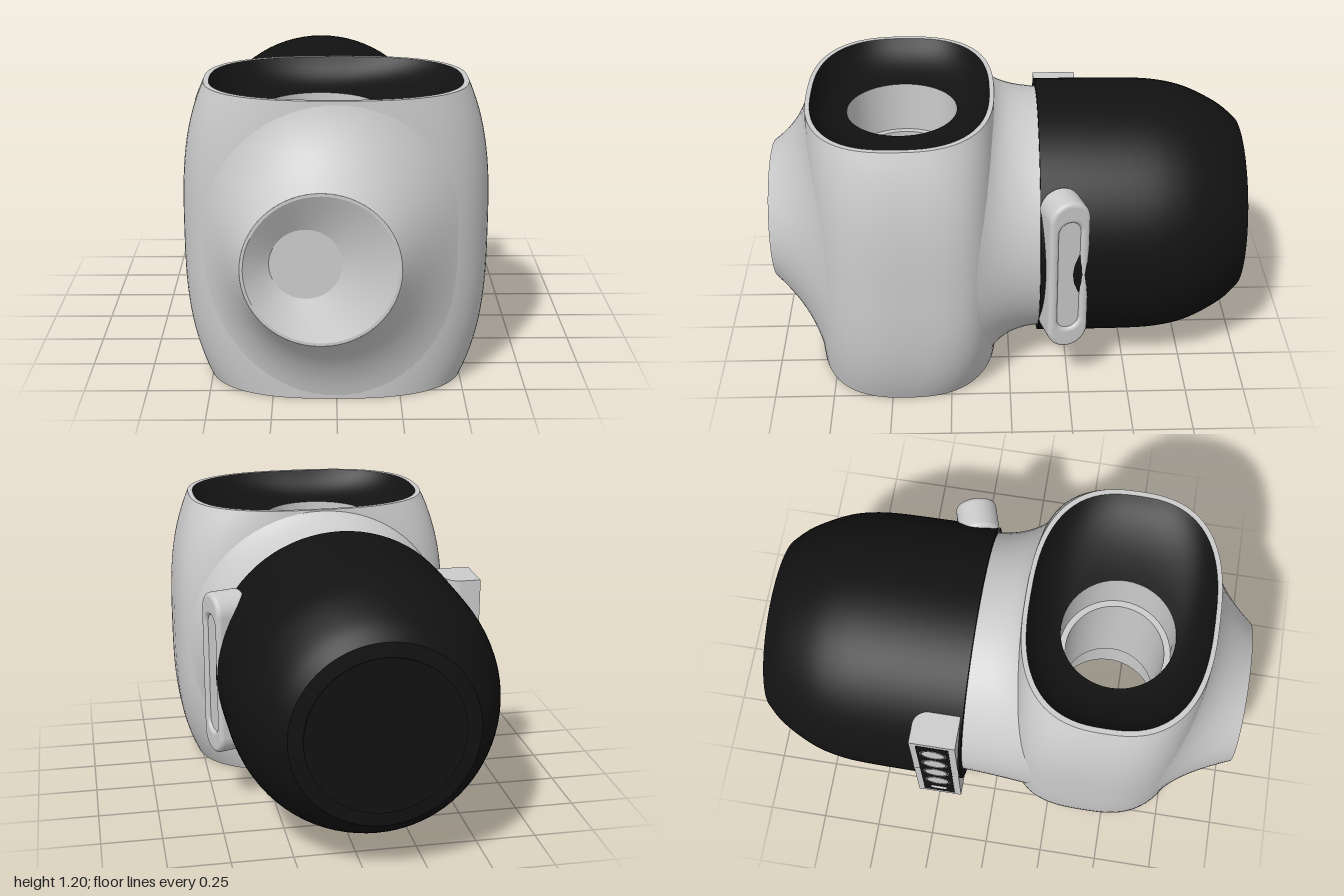
import * as THREE from 'three';

const GREY = 0xcccccc, BLACK = 0x121212;
const CX = -0.06, CY = 0.603, CZ = 0.44; // axis of snout and drum, centre of barrel

const mat = (color, side = THREE.FrontSide) => new THREE.MeshStandardMaterial({ color, side });
const mix = (a, b, t) => a + (b - a) * t;

function add(parent, name, geometry, color = GREY, side) {
  const mesh = new THREE.Mesh(geometry, mat(color, side));
  mesh.name = name;
  parent.add(mesh);
  return mesh;
}

// Surface through closed rings: f(angle, v) returns [x, y, z]
function loft(f, nu, nv) {
  const pos = [], index = [];
  for (let j = 0; j <= nv; j++) {
    for (let i = 0; i < nu; i++) pos.push(...f((i / nu) * Math.PI * 2, j / nv));
  }
  for (let j = 0; j < nv; j++) {
    for (let i = 0; i < nu; i++) {
      const a = j * nu + i, b = j * nu + ((i + 1) % nu);
      index.push(a, b, a + nu, b, b + nu, a + nu);
    }
  }
  const g = new THREE.BufferGeometry();
  g.setAttribute('position', new THREE.Float32BufferAttribute(pos, 3));
  g.setIndex(index);
  g.computeVertexNormals();
  return g;
}

// Barrel half-width, half-depth and squareness at a height (the back is squarer at mid height)
const rise = y => Math.min(1, Math.abs(y / 0.6 - 1));
const halfW = y => 0.609 - 0.091 * rise(y) ** 3;
const halfD = y => 0.4 - 0.015 * rise(y) ** 2;
const power = (y, sign) => (sign > 0 ? 2.6 : 2.6 + 1.6 * (1 - rise(y) ** 2));

// Front (+1) or back (-1) surface of the barrel
function barrelZ(x, y, sign) {
  const n = power(y, sign);
  return CZ + sign * halfD(y) * Math.max(0, 1 - (Math.abs(x) / halfW(y)) ** n) ** (1 / n);
}

// Point of a rounded-square ring
function oval(a, w, d, n = 2.6) {
  const p = v => Math.sign(v) * Math.abs(v) ** (2 / n);
  return [w * p(Math.sin(a)), CZ + d * p(Math.cos(a))];
}

const bezier = (a, c, b, t) =>
  a.map((v, i) => (1 - t) * (1 - t) * v + 2 * t * (1 - t) * c[i] + t * t * b[i]);

function stadium(r, half, Type = THREE.Shape) {
  const s = new Type();
  s.absarc(0, half - r, r, 0, Math.PI);
  s.absarc(0, r - half, r, Math.PI, Math.PI * 2);
  s.closePath();
  return s;
}

function makeBody() {
  const g = new THREE.Group();
  g.name = 'body';
  add(g, 'barrel', loft((a, v) => {
    const y = 1.2 * v, [x, z] = oval(a, halfW(y), halfD(y), power(y, Math.cos(a)));
    return [x, y, z];
  }, 96, 32), GREY, THREE.DoubleSide);

  // Flare from the barrel to the round snout
  add(g, 'snoutFlare', loft((a, v) => {
    const c = Math.cos(a), s = Math.sin(a);
    const tip = [CX + 0.3 * c, CY + 0.3 * s, 1];
    const root = [0.535 * c, 0.6 + 0.595 * s, 0];
    root[2] = barrelZ(root[0], root[1], 1) - 0.002;
    const mid = [mix(tip[0], root[0], 0.45), mix(tip[1], root[1], 0.4), 0];
    mid[2] = barrelZ(mid[0], mid[1], 1) + 0.03;
    return bezier(root, mid, tip, v);
  }, 72, 14), GREY, THREE.DoubleSide);

  // Flare from the round neck to the barrel
  add(g, 'neck', loft((a, v) => {
    const c = Math.cos(a), s = Math.sin(a);
    const end = [-0.05 + 0.515 * c, CY + 0.522 * s, -0.14];
    const root = [-0.01 + 0.575 * c, 0.6 + 0.597 * s, 0];
    root[2] = barrelZ(root[0], root[1], -1) + 0.002;
    return bezier(end, [-0.05 + 0.522 * c, CY + 0.53 * s, 0.01], root, v);
  }, 72, 14), GREY, THREE.DoubleSide);

  // Snout end: thin rim, off-centre cone and flat disc
  const ring = (x0, r0, z0, x1, r1, z1) => loft((a, v) => {
    const r = mix(r0, r1, v);
    return [mix(x0, x1, v) + r * Math.cos(a), CY + r * Math.sin(a), mix(z0, z1, v)];
  }, 64, 1);
  add(g, 'snoutRim', ring(CX, 0.3, 1, CX, 0.288, 1));
  add(g, 'snoutCone', ring(CX, 0.288, 1, -0.117, 0.137, 0.93));
  add(g, 'snoutDisc', new THREE.CircleGeometry(0.14, 48).translate(-0.117, CY, 0.93));
  return g;
}

// Oval mouth: rim, dark dish, and the upper half of the stepped hole
function makeMouth() {
  const g = new THREE.Group();
  g.name = 'mouth';
  add(g, 'mouthRim', loft((a, v) => {
    const [x, z] = oval(a, mix(0.518, 0.497, v), mix(0.385, 0.366, v));
    return [x, 1.2, z];
  }, 96, 1));
  add(g, 'mouthDish', loft((a, v) => {
    const [x, z] = oval(a, 0.497, 0.366);
    const hole = [CX + 0.231 * Math.sin(a), 1.08, CZ + 0.231 * Math.cos(a)];
    const mid = [mix(x, hole[0], 0.3), 1.1, mix(z, hole[2], 0.3)];
    return bezier([x, 1.2, z], mid, hole, v);
  }, 96, 12), BLACK, THREE.DoubleSide);
  add(g, 'holeWall', new THREE.CylinderGeometry(0.231, 0.231, 0.22, 48, 1, true)
    .translate(CX, 0.97, CZ), GREY, THREE.DoubleSide);
  add(g, 'holeStep', new THREE.RingGeometry(0.205, 0.231, 48)
    .rotateX(-Math.PI / 2).translate(CX, 0.86, CZ));
  return g;
}

// Drum at the back: straight wall rounding in to a flat end plate
function makeDrum() {
  const curve = new THREE.SplineCurve([[0.549, 0.123], [0.549, 0.35], [0.546, 0.56], [0.535, 0.67],
    [0.513, 0.76], [0.473, 0.85], [0.425, 0.93], [0.37, 0.99]].map(p => new THREE.Vector2(...p)));
  const tail = [[0.37, 0.99], [0.312, 0.994], [0.312, 0.994], [0.312, 1], [0.312, 1], [0, 1]];
  const profile = [new THREE.Vector2(0.5, 0.123), new THREE.Vector2(0.549, 0.123),
    ...curve.getPoints(30), ...tail.map(p => new THREE.Vector2(...p))];
  return new THREE.LatheGeometry(profile, 80).rotateX(-Math.PI / 2).translate(CX, CY, 0);
}

// Pill-shaped handle with a shallow slot, on the left side
function makeHandle() {
  const g = new THREE.Group();
  g.name = 'handle';
  const shape = stadium(0.068, 0.332);
  shape.holes.push(stadium(0.064, 0.273, THREE.Path));
  add(g, 'handleFrame', new THREE.ExtrudeGeometry(shape, {
    depth: 0.1, bevelThickness: 0.02, bevelSize: 0.018, bevelSegments: 5, curveSegments: 20,
  }).translate(0, 0, -0.12));
  add(g, 'handleSlotFloor', new THREE.ShapeGeometry(stadium(0.055, 0.264), 20).translate(0, 0, -0.014));
  g.position.set(0.508, CY, -0.24);
  g.rotation.y = Math.PI / 2 + 0.3;
  return g;
}

// Button panel on the right side
function makePanel() {
  const g = new THREE.Group();
  g.name = 'buttonPanel';
  const s = new THREE.Shape();
  s.moveTo(-0.609, 0.132);
  s.lineTo(-0.47, 0.132);
  s.lineTo(-0.47, 0.26);
  s.absarc(-0.53, 0.26, 0.06, 0, Math.PI / 2);
  s.lineTo(-0.609, 0.32);
  add(g, 'panelCase', new THREE.ExtrudeGeometry(s, { depth: 0.735, bevelEnabled: false })
    .rotateX(-Math.PI / 2).translate(0, 0.235, 0));
  add(g, 'panelInset', new THREE.BoxGeometry(0.004, 0.68, 0.135).translate(-0.6085, CY, -0.227), BLACK);
  for (const y of [0.845, 0.71, 0.575, 0.44]) {
    const button = new THREE.Group();
    button.name = 'button';
    add(button, 'buttonCap', new THREE.CylinderGeometry(0.046, 0.046, 0.004, 32));
    add(button, 'buttonRing', new THREE.TorusGeometry(0.053, 0.003, 8, 32).rotateX(Math.PI / 2));
    button.rotation.z = Math.PI / 2;
    button.position.set(-0.6095, y, -0.227);
    g.add(button);
  }
  add(g, 'toggle', new THREE.CapsuleGeometry(0.014, 0.05, 6, 12)
    .rotateX(Math.PI / 2).translate(-0.604, 0.325, -0.227));
  return g;
}

export function createModel() {
  const model = new THREE.Group();
  model.name = 'model';
  model.add(makeBody());

  // The mouth is the same at the top and the bottom
  const lower = makeMouth();
  lower.rotation.x = Math.PI;
  lower.position.set(0, 1.2, CZ * 2);
  model.add(makeMouth(), lower);
  add(model, 'throughTube', new THREE.CylinderGeometry(0.205, 0.205, 0.52, 48, 1, true)
    .translate(CX, 0.6, CZ), GREY, THREE.DoubleSide);

  add(model, 'drum', makeDrum(), BLACK);
  model.add(makeHandle(), makePanel());
  return model;
}
